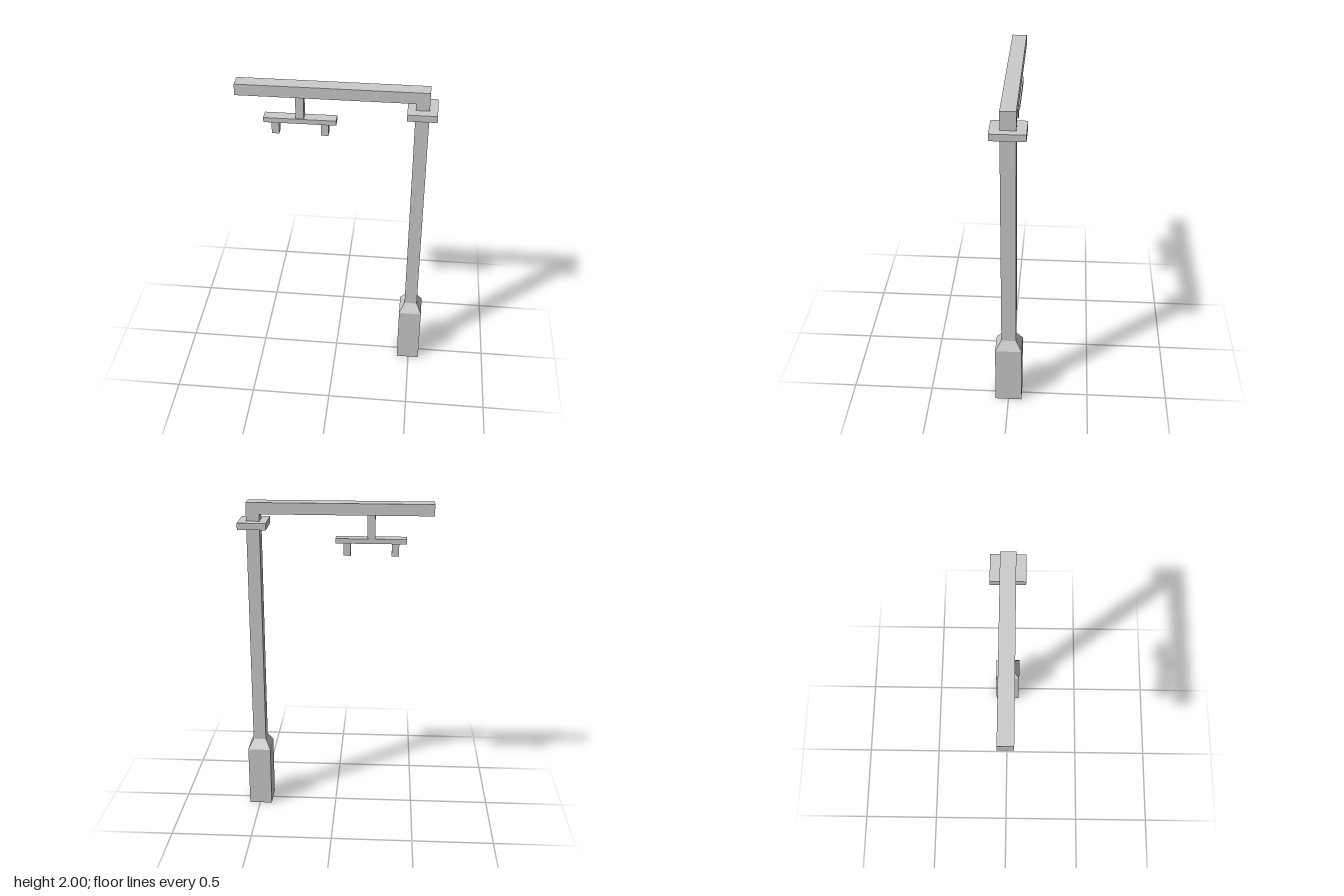
import * as THREE from 'three';

const POST_X = 0.495;

export function createModel() {
  const group = new THREE.Group();
  const solid = new THREE.MeshStandardMaterial({ color: 0xcccccc, flatShading: true });
  const open = new THREE.MeshStandardMaterial({ color: 0xcccccc, flatShading: true, side: THREE.DoubleSide });

  const add = (name, geometry, material) => {
    const mesh = new THREE.Mesh(geometry, material);
    mesh.name = name;
    group.add(mesh);
  };

  // Box given by its x range, y range and depth, centred on z = 0
  const box = (name, x0, x1, y0, y1, depth) => {
    const g = new THREE.BoxGeometry(x1 - x0, y1 - y0, depth);
    g.translate((x0 + x1) / 2, (y0 + y1) / 2, 0);
    add(name, g, solid);
  };

  // Hollow four-sided post section, sized by half widths at bottom and top
  const section = (name, y0, y1, [bx, bz], [tx, tz]) => {
    const g = new THREE.CylinderGeometry(Math.SQRT2, Math.SQRT2, y1 - y0, 4, 1, true);
    g.rotateY(Math.PI / 4);
    const p = g.attributes.position;
    for (let i = 0; i < p.count; i++) {
      const top = p.getY(i) > 0;
      p.setX(i, p.getX(i) * (top ? tx : bx));
      p.setZ(i, p.getZ(i) * (top ? tz : bz));
    }
    g.translate(POST_X, (y0 + y1) / 2, 0);
    g.computeVertexNormals();
    add(name, g, open);
  };

  // Post: wide foot, taper and shaft, open underneath
  const foot = [0.072, 0.082], shaft = [0.04, 0.045];
  section('postFoot', 0, 0.39, foot, foot);
  section('postTaper', 0.39, 0.45, foot, shaft);
  section('postShaft', 0.45, 1.93, shaft, shaft);
  box('collar', 0.409, 0.582, 1.847, 1.888, 0.205);

  // Arm running out from the top of the post
  box('arm', -0.587, 0.535, 1.93, 2, 0.09);

  // Hanging bracket with two pegs
  box('hanger', -0.238, -0.19, 1.786, 1.93, 0.056);
  box('crossbar', -0.428, 0, 1.757, 1.787, 0.07);
  for (const x of [-0.36, -0.069]) box('peg', x - 0.022, x + 0.022, 1.68, 1.757, 0.05);

  return group;
}
